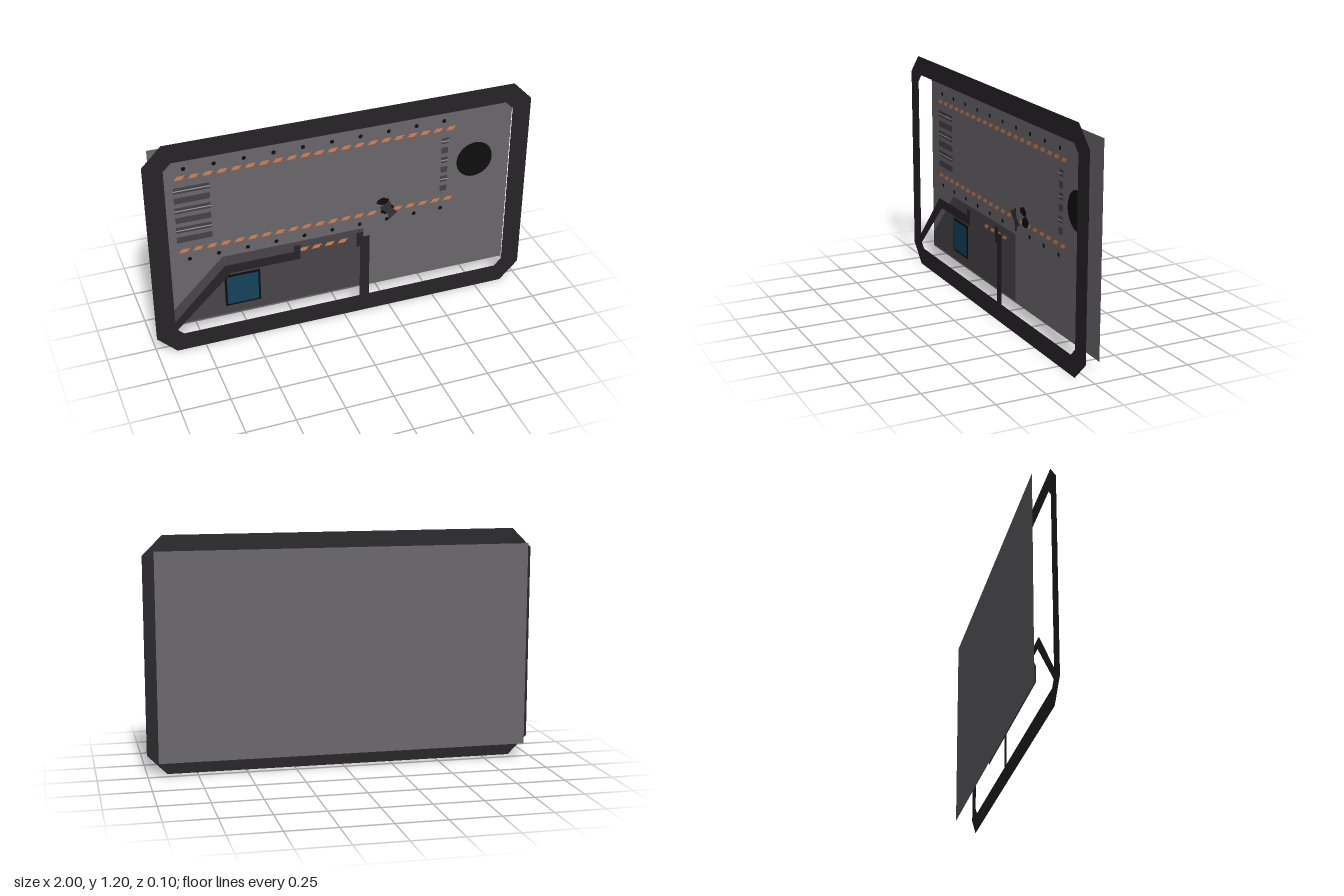
import * as THREE from 'three';

const FRONT = 0.05, BACK = -0.05; // depth of the frame and of the back plate

const mat = (color) => new THREE.MeshStandardMaterial({ color, side: THREE.DoubleSide });
const DARK = mat(0x262427), PLATE = mat(0x6a676b), PANEL = mat(0x48454a),
  BLACK = mat(0x0e0e0e), ORANGE = mat(0xd9804f), BLUE = mat(0x15425c),
  MARK = mat(0x454347), LIGHT = mat(0xa8a8a8), STEEL = mat(0x333336);

const pts = (list) => list.map(([x, y]) => new THREE.Vector2(x, y));

// Rectangle with chamfered corners
const chamfered = (x0, y0, x1, y1, c) => pts([
  [x0 + c, y0], [x1 - c, y0], [x1, y0 + c], [x1, y1 - c],
  [x1 - c, y1], [x0 + c, y1], [x0, y1 - c], [x0, y0 + c]]);

export function createModel() {
  const model = new THREE.Group();

  const group = (name) => {
    const g = new THREE.Group();
    g.name = name;
    model.add(g);
    return g;
  };
  const sheet = (name, geometry, material, z, parent = model) => {
    const mesh = new THREE.Mesh(geometry, material);
    mesh.name = name;
    mesh.position.z = z;
    parent.add(mesh);
    return mesh;
  };
  const poly = (name, list, material, z, parent) =>
    sheet(name, new THREE.ShapeGeometry(new THREE.Shape(pts(list))), material, z, parent);
  const rect = (name, x0, y0, x1, y1, material, z, parent) =>
    poly(name, [[x0, y0], [x1, y0], [x1, y1], [x0, y1]], material, z, parent);
  const disc = (name, x, y, r, segments, material, z, parent) => {
    const mesh = sheet(name, new THREE.CircleGeometry(r, segments), material, z, parent);
    mesh.position.set(x, y, z);
  };

  // Outer frame with a chamfered opening
  const frame = new THREE.Shape(chamfered(-1, 0, 1, 1.2, 0.1));
  frame.holes.push(new THREE.Path(chamfered(-0.9, 0.1, 0.9, 1.1, 0.04)));
  sheet('frame', new THREE.ShapeGeometry(frame), DARK, FRONT);

  // Back plate
  rect('backPlate', -0.95, 0.08, 0.95, 1.13, PLATE, BACK);

  // Bars around the lower panel, level with the frame
  poly('leftBar', [[-0.9, 0.13], [-0.89, 0.13], [-0.6, 0.41], [-0.235, 0.41], [-0.235, 0.495],
    [-0.27, 0.495], [-0.27, 0.46], [-0.63, 0.46], [-0.9, 0.18]], DARK, FRONT);
  poly('rightBar', [[0.085, 0.1], [0.137, 0.1], [0.137, 0.467], [0.1, 0.467], [0.1, 0.495],
    [0.065, 0.495], [0.065, 0.41], [0.085, 0.41]], DARK, FRONT);

  // Lower panel between plate and frame
  poly('lowerPanel', [[-0.9, 0.105], [0.135, 0.105], [0.135, 0.46], [-0.62, 0.46],
    [-0.9, 0.18]], PANEL, -0.03);
  rect('badgeBorder', -0.617, 0.155, -0.428, 0.345, BLACK, -0.026);
  rect('badgeFace', -0.605, 0.167, -0.44, 0.333, BLUE, -0.022);

  // Slanted hazard stripes
  const stripes = (name, x, y, count, height, z) => {
    const g = group(name);
    for (let i = 0; i < count; i++) {
      const a = x + i * 0.0707;
      poly('stripe', [[a, y], [a + 0.04, y], [a + 0.057, y + height], [a + 0.017, y + height]],
        ORANGE, z, g);
    }
  };
  stripes('upperStripes', -0.835, 0.944, 21, 0.021, -0.04);
  stripes('lowerStripes', -0.835, 0.525, 21, 0.021, -0.04);
  stripes('panelStripes', -0.222, 0.4, 4, 0.021, -0.026);

  // Rows of rivets
  const rivets = group('rivets');
  for (const y of [1.002, 0.482]) {
    for (let i = 0; i < 10; i++) disc('rivet', -0.783 + i * 0.15, y, 0.011, 12, BLACK, -0.04, rivets);
  }

  // Round opening
  disc('roundOpening', 0.748, 0.743, 0.1, 48, BLACK, -0.04);

  // Stacked vent slots on both ends
  for (const [name, x0, x1] of [['leftVents', -0.84, -0.66], ['rightVents', 0.56, 0.598]]) {
    const g = group(name);
    for (let i = 0; i < 6; i++) {
      const y = 0.585 + i * 0.0565;
      rect('slot', x0, y, x1, y + 0.034, MARK, -0.042, g);
      if (i % 2) rect('slotEdge', x0, y + 0.013, x1, y + 0.019, LIGHT, -0.039, g);
    }
  }

  // Tilted latch: slanted body over two darker end pieces
  const latch = group('latch');
  poly('latchBody', [[0.197, 0.607], [0.242, 0.563], [0.25, 0.527], [0.296, 0.562],
    [0.262, 0.595], [0.255, 0.638]], STEEL, 0.03, latch);
  poly('latchTop', [[0.2, 0.6], [0.23, 0.585], [0.265, 0.588], [0.268, 0.615],
    [0.236, 0.632], [0.205, 0.618]], BLACK, -0.02, latch);
  poly('latchBottom', [[0.222, 0.54], [0.25, 0.527], [0.29, 0.54], [0.296, 0.568],
    [0.265, 0.59], [0.23, 0.57]], BLACK, -0.02, latch);

  return model;
}
